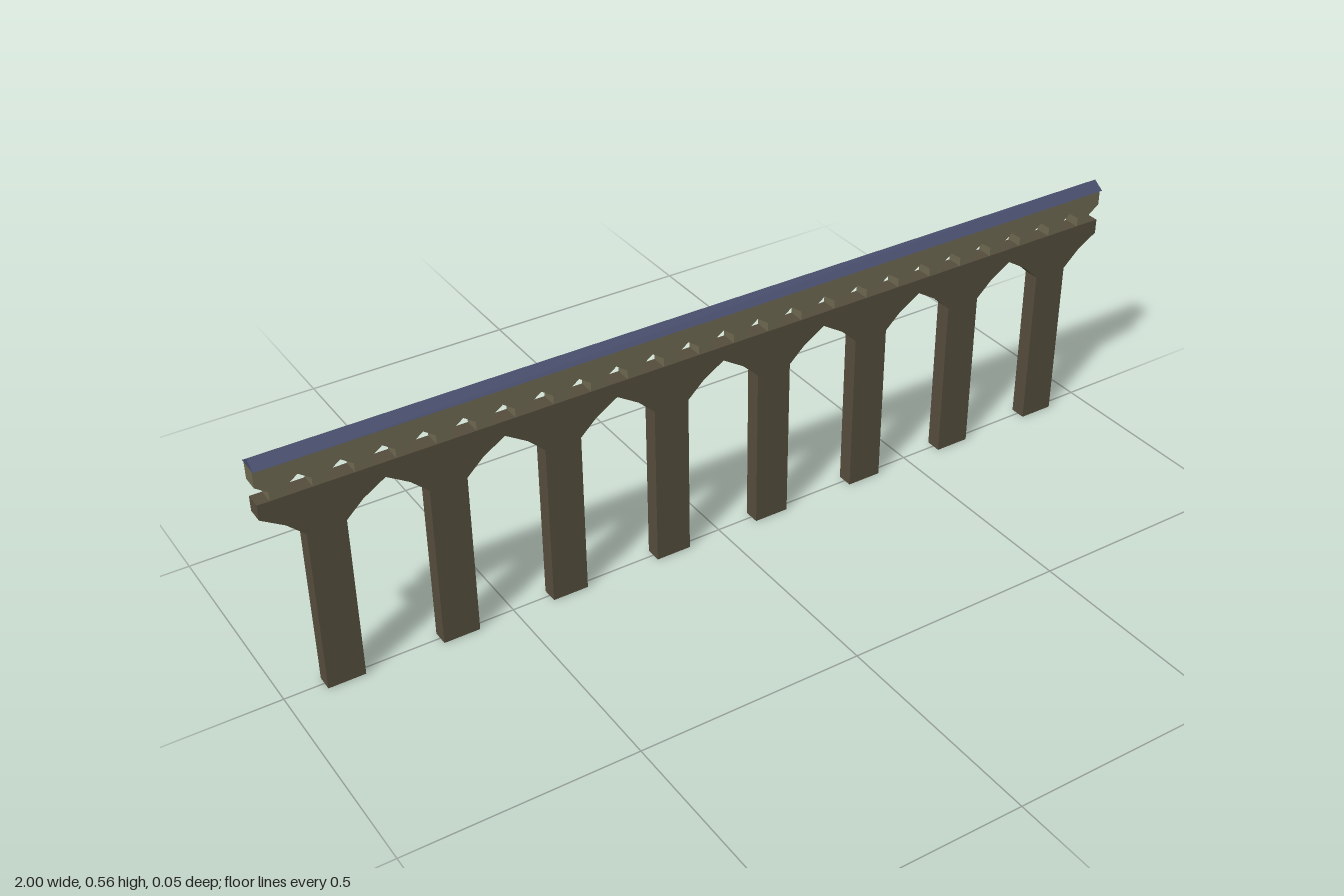
import * as THREE from 'three';

const DEPTH = 0.036, HALF = 1;
const PIER_STEP = 0.25, PIER_HALF = 0.04, SPRING = 0.372, DECK = 0.47;
const WINDOW_STEP = 1 / 12, EAVES = 0.545;

const material = (color) => new THREE.MeshStandardMaterial({ color, flatShading: true });

// Extrude an outline in x, y, centred on z = 0
function wall(name, points, mat) {
  const shape = new THREE.Shape(points.map(([x, y]) => new THREE.Vector2(x, y)));
  const geometry = new THREE.ExtrudeGeometry(shape, { depth: DEPTH, bevelEnabled: false });
  geometry.translate(0, 0, -DEPTH / 2);
  const mesh = new THREE.Mesh(geometry, mat);
  mesh.name = name;
  return mesh;
}

export function createModel() {
  const group = new THREE.Group();
  group.name = 'aqueduct';
  const darkStone = material(0x544c3c);
  const lightStone = material(0x6e6850);
  const slate = material(0x454b6a);

  // Lower tier: each bay is a pier with half a pointed arch on either side
  const bay = PIER_STEP / 2;
  const right = [[PIER_HALF, 0], [PIER_HALF, SPRING], [0.077, 0.407], [bay, 0.437]];
  const left = right.map(([x, y]) => [-x, y]).reverse();
  const lower = [];
  for (let i = 0; i < 8; i++) {
    const cx = -HALF + bay + i * PIER_STEP;
    for (const [x, y] of [...left, ...right]) {
      // neighbouring bays share their arch crown
      if (i > 0 && x === -bay) continue;
      lower.push([cx + x, y]);
    }
  }
  lower.push([HALF, DECK], [-HALF, DECK]);
  group.add(wall('pierArcade', lower, darkStone));

  // Upper tier: small pointed windows, cut in half at both ends
  const w = 0.025, sill = 0.49, peak = 0.508;
  const upper = [[-HALF, peak]];
  for (let i = 0; i < 24; i++) {
    const a = -HALF + i * WINDOW_STEP, b = a + WINDOW_STEP;
    upper.push([a + w, sill], [a + w, DECK], [b - w, DECK], [b - w, sill], [b, peak]);
  }
  upper.push([HALF, EAVES], [-HALF, EAVES]);
  group.add(wall('windowGallery', upper, lightStone));

  // Overhanging gabled roof along the whole length
  const gable = new THREE.Shape([
    new THREE.Vector2(-0.025, EAVES),
    new THREE.Vector2(0.025, EAVES),
    new THREE.Vector2(0, 0.562),
  ]);
  const roofGeometry = new THREE.ExtrudeGeometry(gable, { depth: 2 * HALF, bevelEnabled: false });
  roofGeometry.translate(0, 0, -HALF).rotateY(Math.PI / 2);
  const roof = new THREE.Mesh(roofGeometry, slate);
  roof.name = 'roof';
  group.add(roof);

  return group;
}
